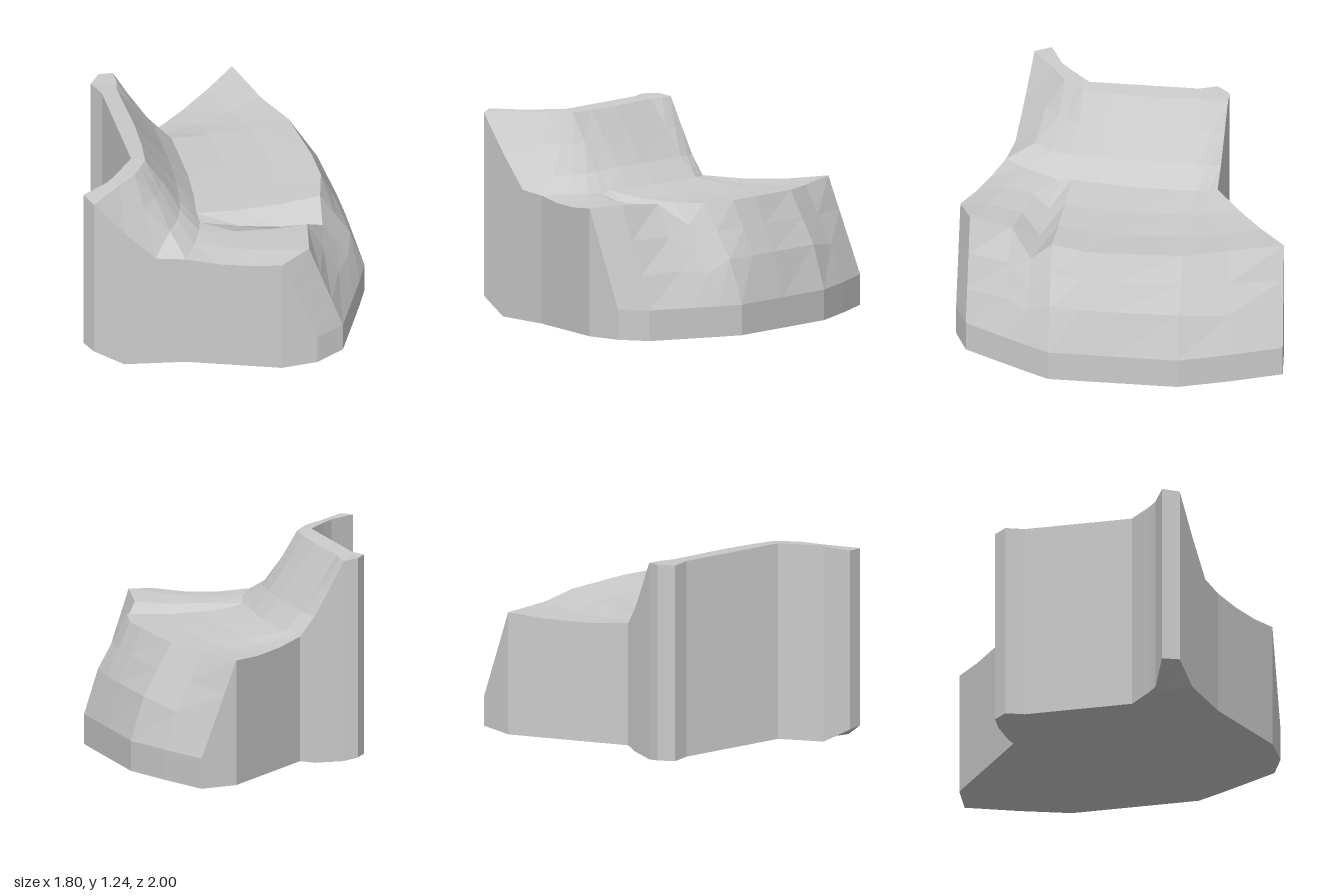
import * as THREE from 'three';

// Cross-sections from one end of the seat to the other:
// back wall [x,z], crest [x,z], seat inner edge [x,z,y], seat outer edge [x,z,y],
// foot of the outer slope [x,z], sag of the backrest slope, bulge of the outer slope
const STATIONS = [
  [[-0.50, -0.54], [-0.41, -0.54], [-0.14, -0.51, 0.78], [0.45, -0.98, 0.78], [0.68, -1.00], 0.03, 0],
  [[-0.57, -0.46], [-0.41, -0.46], [-0.11, -0.45, 0.78], [0.54, -0.65, 0.77], [0.80, -0.69], 0.03, 0.5],
  [[-0.53, -0.35], [-0.43, -0.38], [-0.09, -0.38, 0.79], [0.64, -0.39, 0.78], [0.90, -0.39], 0.03, 1],
  [[-0.53, -0.02], [-0.42, -0.02], [-0.09, 0.00, 0.79], [0.68, 0.00, 0.79], [0.90, 0.00], 0.03, 1],
  [[-0.53, 0.17], [-0.43, 0.19], [-0.11, 0.20, 0.79], [0.68, 0.20, 0.79], [0.90, 0.20], 0.03, 1],
  [[-0.53, 0.31], [-0.45, 0.34], [-0.14, 0.37, 0.79], [0.62, 0.40, 0.79], [0.90, 0.39], 0.04, 1],
  [[-0.60, 0.38], [-0.50, 0.40], [-0.14, 0.45, 0.78], [0.60, 0.53, 0.67], [0.83, 0.53], 0.04, 0.5],
  [[-0.66, 0.44], [-0.55, 0.46], [-0.17, 0.54, 0.79], [0.47, 0.66, 0.80], [0.75, 0.68], 0.05, 0.3],
  [[-0.73, 0.50], [-0.66, 0.53], [-0.23, 0.66, 0.79], [0.41, 0.92, 0.82], [0.62, 0.92], 0.05, 0],
  [[-0.90, 0.58], [-0.86, 0.68], [-0.32, 0.79, 0.79], [0.22, 1.00, 0.79], [0.44, 1.00], 0.13, 0],
];
const CREST = 1.24, FOOT = 0.2, BASE = 0.015;

const vec = ([x, z, y], h) => new THREE.Vector3(x, y ?? h, z);

// Upper outline of one cross-section, from back wall to foot
function profile([back, crest, inner, outer, foot, sag, bulge]) {
  const b = vec(back, CREST), t = vec(crest, CREST - 0.01), s = vec(inner), e = vec(outer), f = vec(foot, FOOT);
  const mix = (p, q, k, dy = 0) => {
    const v = p.clone().lerp(q, k);
    v.y += dy;
    return v;
  };
  return [
    b, t,
    mix(t, s, 0.33, -sag * 0.6), mix(t, s, 0.67, -sag), s,
    mix(s, e, 0.33, -0.02), mix(s, e, 0.67, -0.02), e,
    mix(e, f, 0.34, 0.04 * bulge), mix(e, f, 0.68, 0.08 * bulge), f,
  ];
}

function createBody() {
  const upper = STATIONS.map(profile);
  // Underside follows the same plan; it lifts under the overhanging wing
  const lower = upper.map((row, i) => row.map((p) => {
    let y = BASE;
    if (p.x < -0.83) y = 0.12;
    else if (i === 0 && p.x > -0.45 && p.x < -0.2) y = 0;
    return new THREE.Vector3(p.x, y, p.z);
  }));
  const pos = [];
  const quad = (a, b, c, d) => [a, b, c, a, c, d].forEach((p) => pos.push(p.x, p.y, p.z));
  const n = upper.length - 1, m = upper[0].length - 1;

  for (let i = 0; i < n; i++) {
    for (let j = 0; j < m; j++) {
      // top surface and underside
      quad(upper[i][j], upper[i + 1][j], upper[i + 1][j + 1], upper[i][j + 1]);
      quad(lower[i][j], lower[i][j + 1], lower[i + 1][j + 1], lower[i + 1][j]);
    }
    // back wall and front skirt
    quad(lower[i][0], lower[i + 1][0], upper[i + 1][0], upper[i][0]);
    quad(lower[i + 1][m], lower[i][m], upper[i][m], upper[i + 1][m]);
  }
  // flanks at the two ends
  for (let j = 0; j < m; j++) {
    quad(lower[0][j + 1], lower[0][j], upper[0][j], upper[0][j + 1]);
    quad(lower[n][j], lower[n][j + 1], upper[n][j + 1], upper[n][j]);
  }

  const geometry = new THREE.BufferGeometry();
  geometry.setAttribute('position', new THREE.Float32BufferAttribute(pos, 3));
  geometry.computeVertexNormals();
  return geometry;
}

export function createModel() {
  const group = new THREE.Group();
  group.name = 'carvedSeat';
  const material = new THREE.MeshStandardMaterial({ color: 0xcccccc, flatShading: true, side: THREE.DoubleSide });
  const body = new THREE.Mesh(createBody(), material);
  body.name = 'seatBody';
  group.add(body);
  return group;
}
